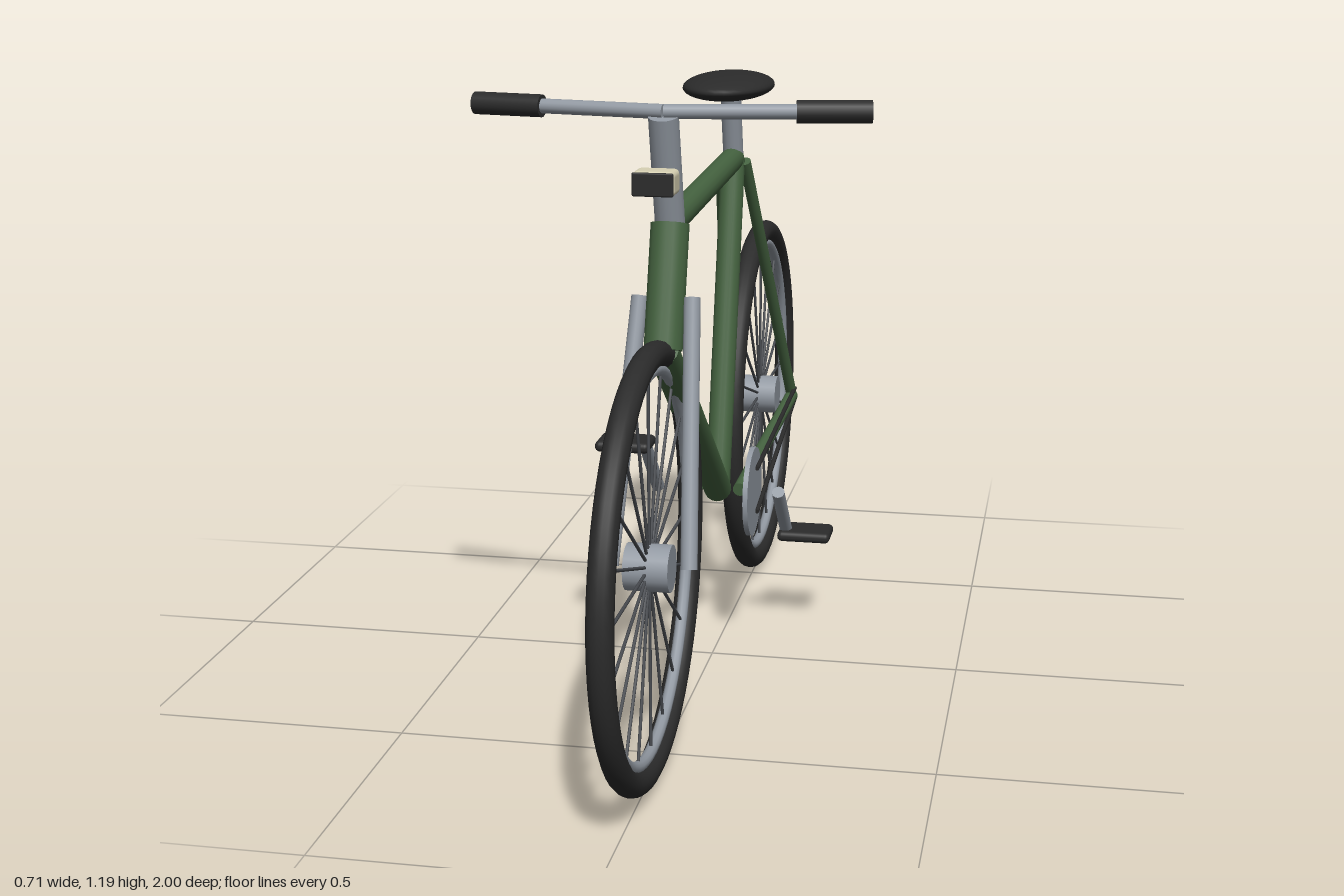
import * as THREE from 'three';
import { RoundedBoxGeometry } from 'three/addons/geometries/RoundedBoxGeometry.js';

const material = (name, color) => {
  const m = new THREE.MeshStandardMaterial({ color });
  m.name = name;
  return m;
};

export function createModel() {
  const bike = new THREE.Group();
  bike.name = 'bicycle';

  const green = material('frame green', 0x456340);
  const metal = material('grey metal', 0x9299a2);
  const black = material('black rubber', 0x2b2b2b);
  const spokeGrey = material('spoke grey', 0x4a4d52);
  const cream = material('lamp cream', 0xd8d2b4);
  const red = material('reflector red', 0xb01c24);

  const add = (name, geometry, mat, parent = bike) => {
    const mesh = new THREE.Mesh(geometry, mat);
    mesh.name = name;
    parent.add(mesh);
    return mesh;
  };

  // Straight round tube between two points
  const UP = new THREE.Vector3(0, 1, 0);
  const tube = (name, a, b, radius, mat, parent = bike, sides = 16) => {
    const from = new THREE.Vector3(...a);
    const to = new THREE.Vector3(...b);
    const along = to.clone().sub(from);
    const mesh = add(name, new THREE.CylinderGeometry(radius, radius, along.length(), sides), mat, parent);
    mesh.position.copy(from).add(to).multiplyScalar(0.5);
    mesh.quaternion.setFromUnitVectors(UP, along.normalize());
    return mesh;
  };

  const axleY = 0.396, axleZ = 0.604;

  // Wheels: tyre, rim, hub and twenty spokes
  for (const [name, z] of [['frontWheel', axleZ], ['rearWheel', -axleZ]]) {
    const wheel = new THREE.Group();
    wheel.name = name;
    wheel.position.set(0, axleY, z);
    bike.add(wheel);
    add('tyre', new THREE.TorusGeometry(0.373, 0.023, 14, 64).rotateY(Math.PI / 2), black, wheel);
    add('rim', new THREE.TorusGeometry(0.345, 0.011, 10, 64).rotateY(Math.PI / 2), metal, wheel);
    tube('hub', [-0.04, 0, 0], [0.04, 0, 0], 0.042, metal, wheel, 20);
    for (let i = 0; i < 20; i++) {
      const t = (i / 20) * Math.PI * 2;
      const c = Math.cos(t), s = Math.sin(t);
      tube('spoke', [0, c * 0.03, s * 0.03], [0, c * 0.345, s * 0.345], 0.003, spokeGrey, wheel, 6);
    }
  }

  // Main frame
  const bracket = [0, 0.335, -0.063];
  const seatTop = [0, 0.99, -0.235];
  const headTop = [0, 0.968, 0.41];
  const headLow = [0, 0.755, 0.477];
  tube('headTube', headLow, headTop, 0.035, green);
  tube('topTube', headTop, seatTop, 0.024, green);
  tube('seatTube', bracket, seatTop, 0.025, green);
  tube('downTube', bracket, headLow, 0.028, green);

  // Fork legs and rear stays on both sides
  for (const s of [1, -1]) {
    tube('forkLeg', [s * 0.047, 0.845, 0.45], [s * 0.07, axleY, axleZ], 0.015, metal);
    tube('seatStay', [s * 0.025, 0.985, -0.235], [s * 0.073, axleY, -axleZ], 0.012, green);
    tube('chainStay', [s * 0.045, 0.335, -0.063], [s * 0.073, axleY, -axleZ], 0.014, green);
  }

  // Stem, swept handlebar and grips
  tube('stem', [0, 0.965, 0.41], [0, 1.165, 0.463], 0.027, metal);
  const barPoint = (s, x) => [s * x, 1.172, 0.463 - x * 0.18];
  for (const s of [1, -1]) {
    tube('handlebar', barPoint(s, 0), barPoint(s, 0.345), 0.013, metal);
    tube('grip', barPoint(s, 0.225), barPoint(s, 0.353), 0.02, black);
  }

  // Front lamp with a dark face
  add('lamp', new RoundedBoxGeometry(0.075, 0.044, 0.056, 2, 0.01), cream).position.set(0, 1.06, 0.53);
  add('lampFace', new RoundedBoxGeometry(0.072, 0.041, 0.006, 2, 0.003), black).position.set(0, 1.06, 0.557);

  // Saddle, seat post and rear reflector
  tube('seatPost', [0, 0.985, -0.242], [0, 1.14, -0.203], 0.021, metal);
  const saddle = add('saddle', new THREE.SphereGeometry(1, 32, 20), black);
  saddle.scale.set(0.09, 0.027, 0.16);
  saddle.position.set(0, 1.145, -0.187);
  add('reflector', new THREE.BoxGeometry(0.06, 0.024, 0.016), red).position.set(0, 1.132, -0.317);

  // Chainring and the two chain runs
  tube('chainring', [0.067, 0.335, -0.058], [0.077, 0.335, -0.058], 0.091, metal, bike, 32);
  tube('chainUpper', [0.08, 0.38, -0.07], [0.08, 0.413, -axleZ], 0.005, black, bike, 8);
  tube('chainLower', [0.08, 0.288, -0.07], [0.08, 0.388, -axleZ], 0.005, black, bike, 8);

  // Opposed cranks and pedals
  for (const s of [1, -1]) {
    const y = 0.334 - s * 0.124, z = -0.063 - s * 0.122;
    tube('crank', [s * 0.125, 0.334, -0.063], [s * 0.125, y, z], 0.013, metal);
    add('pedal', new RoundedBoxGeometry(0.11, 0.022, 0.08, 3, 0.01), black).position.set(s * 0.165, y, z);
  }

  return bike;
}
